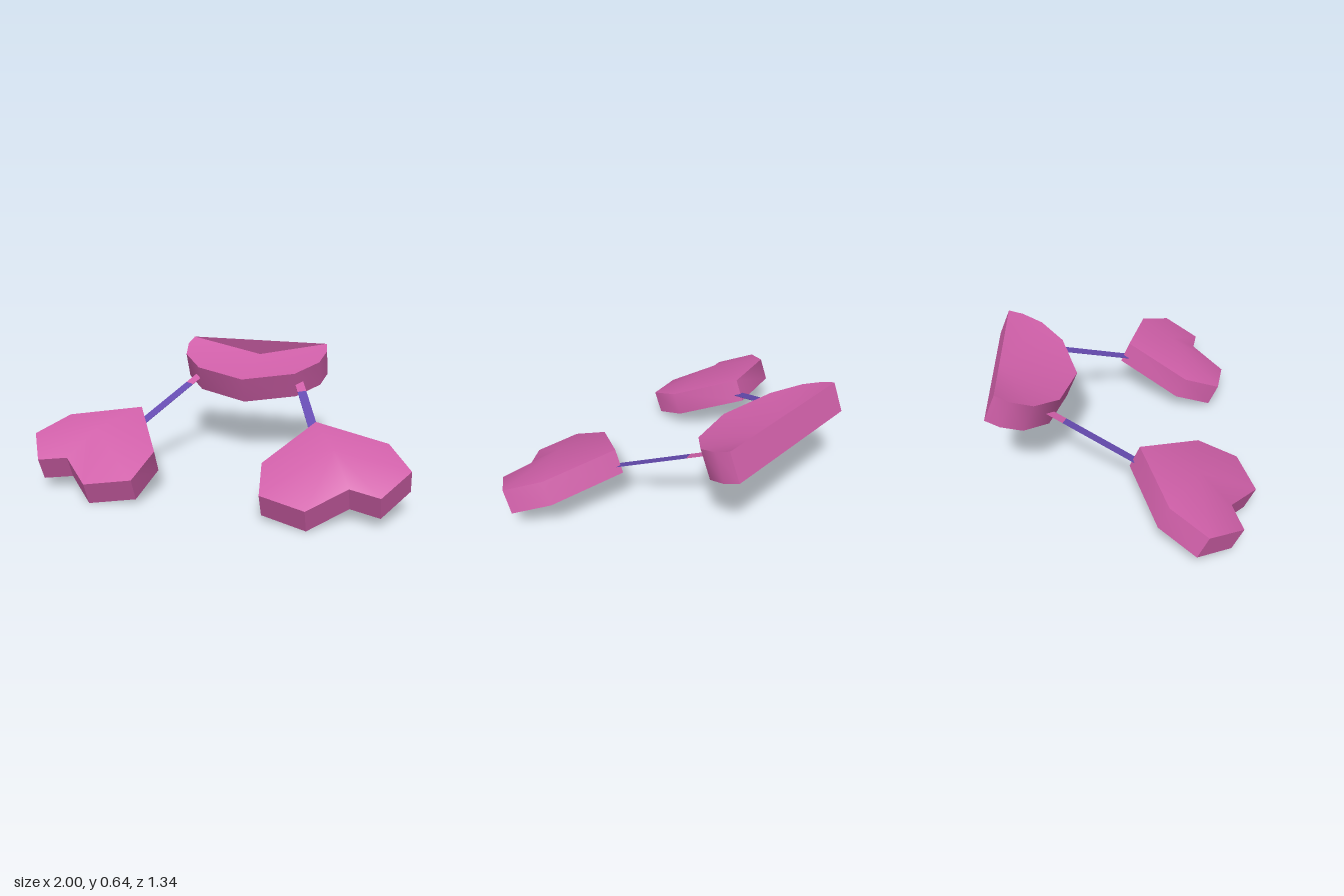
import * as THREE from 'three';
import { toCreasedNormals } from 'three/addons/utils/BufferGeometryUtils.js';

// Outlines are [x, z] in the tilted plane that carries every part.
const HEART = [[0.49, 0.05], [0.875, 0.17], [1, 0.353], [0.88, 0.553],
  [0.73, 0.515], [0.555, 0.688], [0.325, 0.623], [0.285, 0.4]];
const CAP_HALF = [[0.42, -0.698], [0.435, -0.617], [0.41, -0.5], [0.29, -0.37]];

// Closed pad: an upright rim, with top and bottom fanned from raised or sunken centres.
function padGeometry(outline, low, high, bottomCentre, topCentre) {
  let area = 0;
  outline.forEach(([x, z], i) => {
    const [nx, nz] = outline[(i + 1) % outline.length];
    area += z * nx - x * nz;
  });
  const ring = area > 0 ? outline : [...outline].reverse();
  const pos = [];
  ring.forEach(([x, z], i) => {
    const [nx, nz] = ring[(i + 1) % ring.length];
    const a = [x, high, z], b = [nx, high, nz];
    const c = [x, low, z], d = [nx, low, nz];
    pos.push(...topCentre, ...a, ...b, ...bottomCentre, ...d, ...c);
    pos.push(...a, ...c, ...d, ...a, ...d, ...b);
  });
  const g = new THREE.BufferGeometry();
  g.setAttribute('position', new THREE.Float32BufferAttribute(pos, 3));
  return toCreasedNormals(g, 0.9);
}

// Flat strip between two points of the tilted plane.
function ribbonGeometry([x0, z0], [x1, z1], width) {
  const dx = x1 - x0, dz = z1 - z0;
  const g = new THREE.BoxGeometry(width, 0.002, Math.hypot(dx, dz));
  g.rotateY(Math.atan2(dx, dz));
  g.translate((x0 + x1) / 2, 0, (z0 + z1) / 2);
  return g;
}

export function createModel() {
  const pink = new THREE.MeshStandardMaterial({ color: 0xcf5fa8 });
  pink.name = 'pink';
  const violet = new THREE.MeshStandardMaterial({ color: 0x654bb0 });
  violet.name = 'violet';

  const model = new THREE.Group();
  model.name = 'heartPendants';
  const add = (name, geometry, material) => {
    const mesh = new THREE.Mesh(geometry, material);
    mesh.name = name;
    model.add(mesh);
  };

  // Rounded cap at the back, dished towards the middle of its rear wall
  const cap = [...CAP_HALF, [0, -0.28],
    ...[...CAP_HALF].reverse().map(([x, z]) => [-x, z])];
  add('backCap', padGeometry(cap, -0.08, 0.08, [0, -0.08, -0.5], [0, -0.018, -0.69]), pink);

  // Hearts and their straps, mirrored
  for (const [side, s] of [['left', 1], ['right', -1]]) {
    const heart = HEART.map(([x, z]) => [s * x, z]);
    add(side + 'Heart', padGeometry(heart, -0.042, 0.088,
      [s * 0.63, -0.102, 0.325], [s * 0.63, 0.149, 0.328]), pink);
    add(side + 'Strap', ribbonGeometry([s * 0.495, 0.08], [s * 0.34, -0.315], 0.05), violet);
    add(side + 'StrapEnd', ribbonGeometry([s * 0.34, -0.315], [s * 0.305, -0.404], 0.05), pink);
  }

  // Lean the whole set, rear end up
  model.rotation.x = Math.PI / 8;
  model.position.y = 0.308;
  const root = new THREE.Group();
  root.name = 'model';
  root.add(model);
  return root;
}
